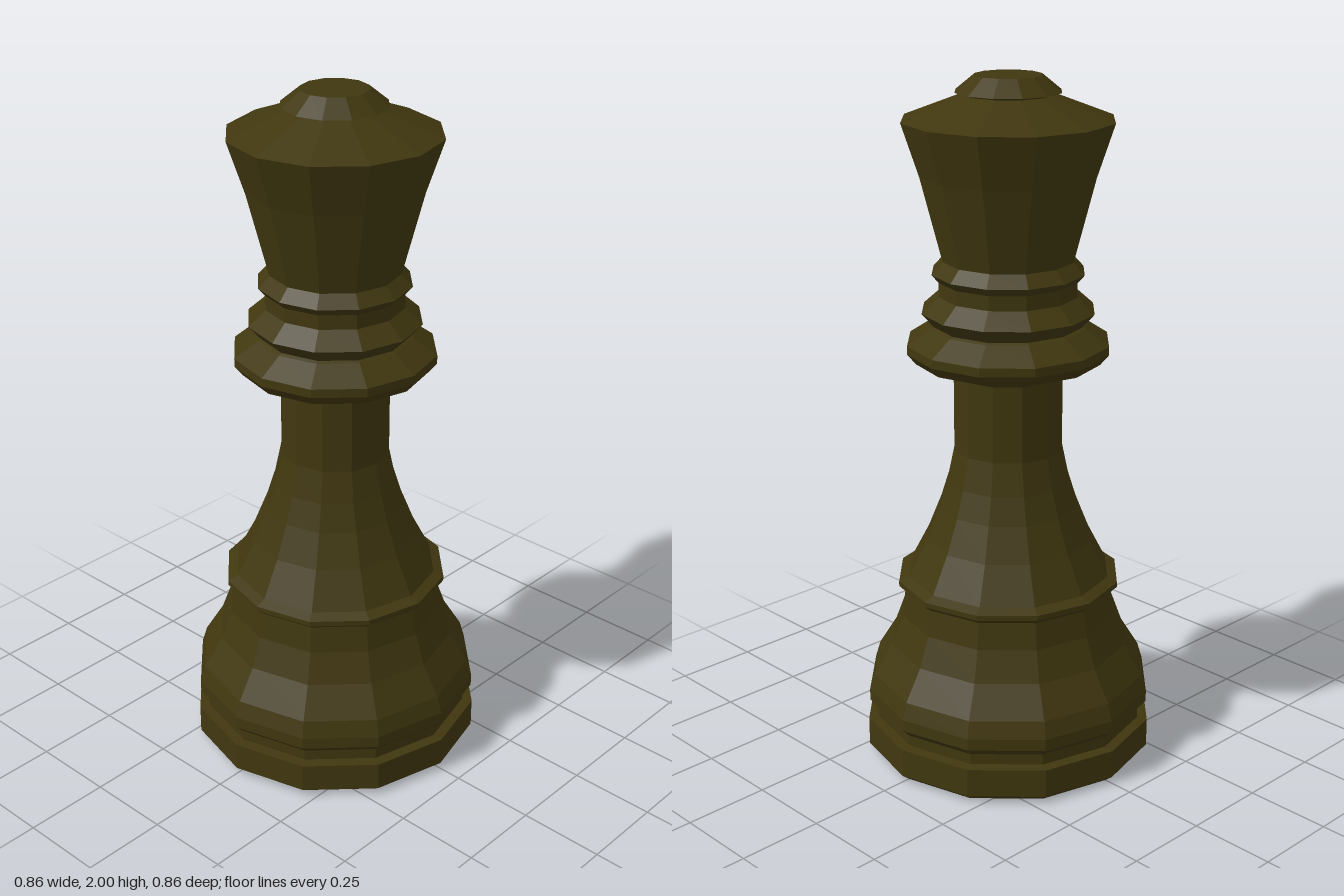
import * as THREE from 'three';

const SIDES = 12;

// Profiles are [radius, height], bottom to top; each part starts where the last one ends.
const PARTS = {
  foot: [[0, 0], [0.405, 0], [0.43, 0.02], [0.43, 0.105], [0.4, 0.108], [0.4, 0.14]],
  lowerBody: [[0.4, 0.14], [0.425, 0.165], [0.425, 0.2], [0.41, 0.25], [0.355, 0.34],
    [0.322, 0.43], [0.312, 0.51]],
  bodyRing: [[0.312, 0.51], [0.33, 0.525], [0.33, 0.54], [0.3, 0.553]],
  stem: [[0.3, 0.553], [0.245, 0.66], [0.205, 0.76], [0.18, 0.84], [0.16, 0.935], [0.16, 1.16]],
  stemLip: [[0.16, 1.16], [0.183, 1.178], [0.183, 1.19], [0.17, 1.2]],
  wideCollar: [[0.17, 1.2], [0.268, 1.2], [0.293, 1.23], [0.293, 1.255], [0.225, 1.3]],
  middleCollar: [[0.225, 1.3], [0.215, 1.305], [0.25, 1.345], [0.2, 1.39], [0.2, 1.432]],
  upperCollar: [[0.2, 1.432], [0.22, 1.455], [0.188, 1.49]],
  head: [[0.188, 1.49], [0.25, 1.73], [0.3, 1.88], [0.125, 1.948]],
  topButton: [[0.125, 1.948], [0.15, 1.955], [0.095, 2], [0, 2]],
};

export function createModel() {
  const group = new THREE.Group();
  group.name = 'chessPiece';
  const darkWood = new THREE.MeshStandardMaterial({ color: 0x40370f, flatShading: true });
  darkWood.name = 'dark olive wood';

  // Turned parts with twelve flat sides, corners on the axes
  for (const [name, profile] of Object.entries(PARTS)) {
    const points = profile.map(([r, y]) => new THREE.Vector2(r, y));
    const mesh = new THREE.Mesh(new THREE.LatheGeometry(points, SIDES), darkWood);
    mesh.name = name;
    group.add(mesh);
  }
  return group;
}
